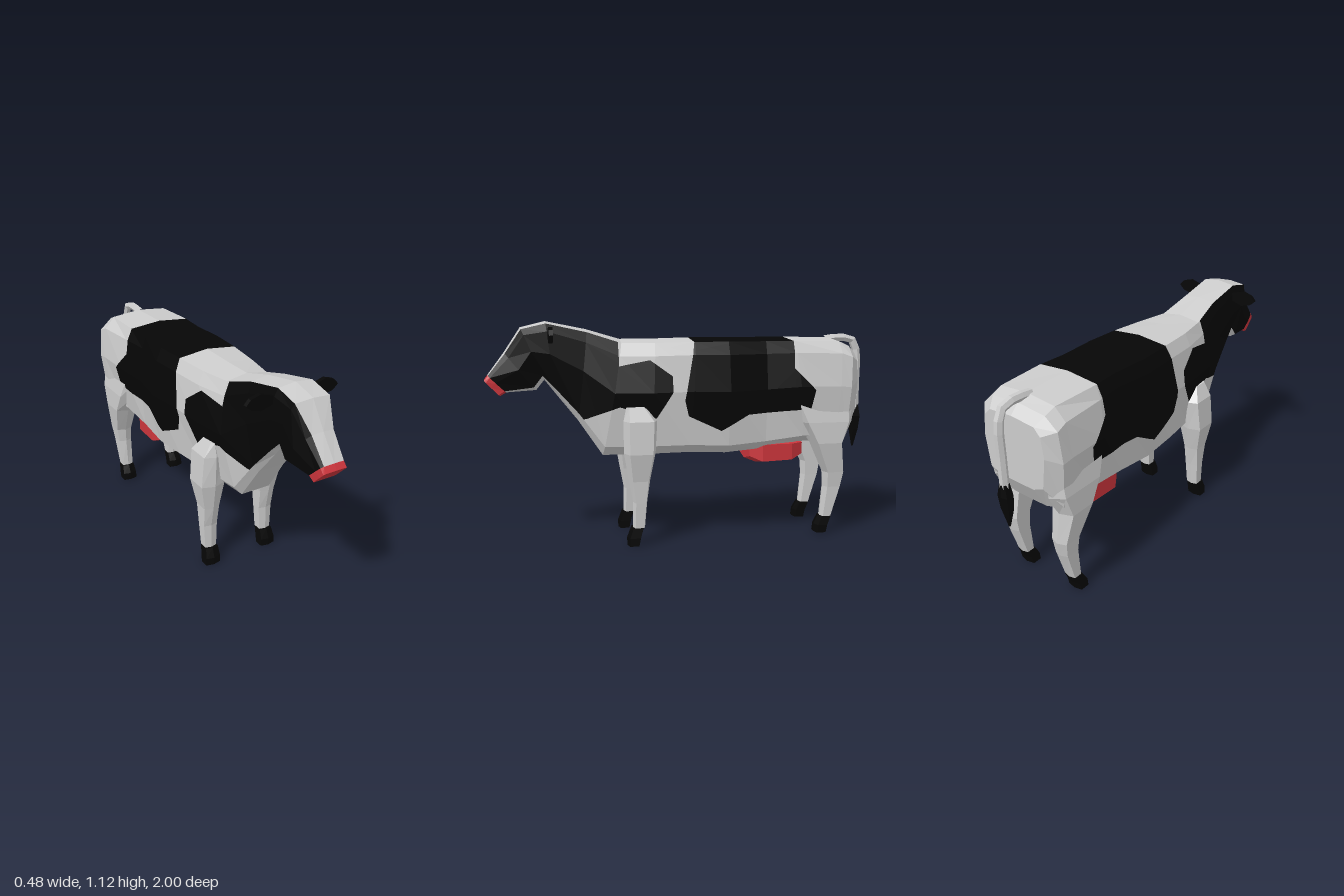
import * as THREE from 'three';

const paint = (color) => new THREE.MeshStandardMaterial({ color, flatShading: true });
const HIDE = paint(0xcccccc), BLACK = paint(0x060606), RED = paint(0xcc353c);

// Skins rings of points; each ring runs clockwise seen from outside the first end.
// Returns triangles tagged with their ring and segment.
function skin(rings) {
  const n = rings[0].length, tris = [];
  const centre = (r) => [0, 1, 2].map((k) => r.reduce((sum, p) => sum + p[k], 0) / n);
  const last = rings.length - 1, c0 = centre(rings[0]), c1 = centre(rings[last]);
  for (let i = 0; i < n; i++) {
    const j = (i + 1) % n;
    tris.push({ p: [c0, rings[0][j], rings[0][i]], ring: 0, seg: i });
    for (let s = 0; s < last; s++) {
      const a = rings[s][i], b = rings[s][j], c = rings[s + 1][j], d = rings[s + 1][i];
      tris.push({ p: [a, b, c], ring: s, seg: i }, { p: [a, c, d], ring: s, seg: i });
    }
    tris.push({ p: [c1, rings[last][i], rings[last][j]], ring: last, seg: i });
  }
  return tris;
}

// Flat-shaded mesh from convex polygons
function polyMesh(name, polys, material) {
  const pos = [];
  for (const p of polys)
    for (let k = 1; k < p.length - 1; k++) pos.push(...p[0], ...p[k], ...p[k + 1]);
  const g = new THREE.BufferGeometry();
  g.setAttribute('position', new THREE.Float32BufferAttribute(pos, 3));
  g.computeVertexNormals();
  const mesh = new THREE.Mesh(g, material);
  mesh.name = name;
  return mesh;
}

// Limb with flat sides and blunt front and back; rows [x, y, z, half width, half depth] go downwards
const LIMB_RING = [[0, 1], [-1, 0.72], [-1, -0.72], [0, -1], [1, -0.72], [1, 0.72]];
function limb(name, rows, material, side = 1) {
  const rings = rows.map(([x, y, z, w, d]) => LIMB_RING.map(([u, v]) => [side * x + u * w, y, z + v * d]));
  return polyMesh(name, skin(rings).map((t) => t.p), material);
}

// Cuts a polygon along the line a-b in the (z, y) plane: [kept side, other side]
function cut(poly, a, b) {
  const dist = (p) => (b[0] - a[0]) * (p[1] - a[1]) - (b[1] - a[1]) * (p[2] - a[0]);
  const inside = [], outside = [];
  poly.forEach((p, i) => {
    const q = poly[(i + 1) % poly.length], dp = dist(p), dq = dist(q);
    if (dp >= 0) inside.push(p);
    if (dp <= 0) outside.push(p);
    if (dp * dq < 0) {
      const m = p.map((v, k) => v + ((q[k] - v) * dp) / (dp - dq));
      inside.push(m);
      outside.push(m);
    }
  });
  return [inside, outside];
}

// Body sections, nose to rump: top z, y, bottom z, y, then half widths at LEVELS
const LEVELS = [0.03, 0.14, 0.45, 0.92, 1];
const SECTIONS = [
  [1.0, 0.835, 0.925, 0.757, 0.055, 0.06, 0.06, 0.06, 0.05],
  [0.982, 0.86, 0.895, 0.775, 0.052, 0.062, 0.065, 0.062, 0.05],
  [0.9, 0.97, 0.75, 0.785, 0.057, 0.075, 0.1, 0.085, 0.06],
  [0.82, 1.09, 0.71, 0.835, 0.09, 0.1, 0.112, 0.085, 0.06],
  [0.7, 1.12, 0.66, 0.77, 0.09, 0.105, 0.115, 0.09, 0.06],
  [0.5, 1.08, 0.55, 0.63, 0.09, 0.11, 0.125, 0.1, 0.07],
  [0.33, 1.03, 0.43, 0.45, 0.11, 0.135, 0.17, 0.12, 0.08],
  [0.17, 1.03, 0.2, 0.45, 0.14, 0.17, 0.195, 0.15, 0.1],
  [-0.03, 1.035, 0, 0.455, 0.16, 0.19, 0.21, 0.18, 0.12],
  [-0.2, 1.035, -0.2, 0.445, 0.17, 0.2, 0.228, 0.19, 0.12],
  [-0.4, 1.035, -0.4, 0.46, 0.16, 0.18, 0.205, 0.18, 0.12],
  [-0.55, 1.035, -0.6, 0.485, 0.17, 0.2, 0.23, 0.19, 0.1],
  [-0.8, 1.03, -0.77, 0.49, 0.16, 0.215, 0.235, 0.21, 0.1],
  [-0.855, 1.005, -0.83, 0.505, 0.155, 0.22, 0.235, 0.21, 0.1],
  [-0.9, 0.96, -0.9, 0.63, 0.13, 0.165, 0.18, 0.16, 0.1],
];

// Coat patches: convex outlines in (z, y), counter-clockwise, on a range of ring segments
const PATCHES = [
  { from: 1, to: 3, outline: [[0.35, 1.2], [0.35, 0.7], [0.51, 0.64], [0.75, 0.6], [1.1, 0.6], [1.1, 1.2]] },
  { from: 1, to: 4, outline: [[0.35, 0.9], [0.2, 0.93], [0.09, 0.85], [0.09, 0.77], [0.17, 0.64], [0.35, 0.7]] },
  { from: 0, to: 5, outline: [[-0.06, 1.2], [-0.55, 1.2], [-0.54, 0.87], [-0.3, 0.65], [-0.16, 0.57], [0.01, 0.65], [0.03, 0.73]] },
  { from: 0, to: 5, outline: [[-0.54, 0.88], [-0.65, 0.77], [-0.63, 0.67], [-0.3, 0.65]] },
];

function buildBody() {
  const rings = SECTIONS.map(([zt, yt, zb, yb, ...xs]) => {
    const at = (x, t) => [x, yt + (yb - yt) * t, zt + (zb - zt) * t];
    const half = (side) => xs.map((x, i) => at(side * x, LEVELS[i]));
    return [at(0, 0), ...half(1), at(0, 1), ...half(-1).reverse()];
  });
  const hide = [], black = [], red = [];
  for (const { p, ring, seg } of skin(rings)) {
    if (ring === 0) { red.push(p); continue; }
    const level = Math.min(seg, 11 - seg);
    let rest = [p];
    for (const { from, to, outline } of PATCHES) {
      if (level < from || level > to) continue;
      const next = [];
      for (let piece of rest) {
        for (let k = 0; k < outline.length && piece.length > 2; k++) {
          const [inside, outside] = cut(piece, outline[k], outline[(k + 1) % outline.length]);
          if (outside.length > 2) next.push(outside);
          piece = inside;
        }
        if (piece.length > 2) black.push(piece);
      }
      rest = next;
    }
    hide.push(...rest);
  }
  const body = new THREE.Group();
  body.name = 'body';
  body.add(polyMesh('hide', hide, HIDE), polyMesh('coatPatches', black, BLACK), polyMesh('muzzle', red, RED));
  return body;
}

export function createModel() {
  const cow = new THREE.Group();
  cow.name = 'cow';
  cow.add(buildBody());

  // Legs, hooves and ears on both sides
  for (const [label, side] of [['left', 1], ['right', -1]]) {
    cow.add(limb(label + 'FrontLeg', [
      [0.165, 0.7, 0.27, 0.015, 0.05], [0.165, 0.63, 0.25, 0.055, 0.085], [0.17, 0.47, 0.255, 0.065, 0.08],
      [0.167, 0.33, 0.257, 0.042, 0.054], [0.167, 0.22, 0.255, 0.038, 0.036], [0.167, 0.09, 0.262, 0.032, 0.031],
    ], HIDE, side));
    cow.add(limb(label + 'FrontHoof', [
      [0.167, 0.09, 0.27, 0.035, 0.035], [0.169, 0.04, 0.287, 0.04, 0.037], [0.17, 0, 0.291, 0.041, 0.032],
    ], BLACK, side));
    cow.add(limb(label + 'HindLeg', [
      [0.165, 0.72, -0.7, 0.045, 0.19], [0.168, 0.6, -0.725, 0.062, 0.155], [0.17, 0.49, -0.735, 0.063, 0.09],
      [0.16, 0.33, -0.782, 0.045, 0.06], [0.157, 0.25, -0.777, 0.038, 0.049], [0.157, 0.09, -0.745, 0.032, 0.029],
    ], HIDE, side));
    cow.add(limb(label + 'HindHoof', [
      [0.157, 0.09, -0.742, 0.035, 0.034], [0.16, 0.045, -0.72, 0.04, 0.036], [0.16, 0.005, -0.713, 0.041, 0.033],
    ], BLACK, side));

    const leaf = [[0.09, 1.07], [0.17, 1.095], [0.22, 1.08], [0.242, 1.055], [0.215, 1.03], [0.165, 1.017], [0.09, 1.04]];
    const shape = new THREE.Shape(leaf.map(([x, y]) => new THREE.Vector2(side * x, y)));
    const ear = new THREE.Mesh(new THREE.ExtrudeGeometry(shape, { depth: 0.02, bevelEnabled: false }), BLACK);
    ear.position.z = 0.67;
    ear.name = label + 'Ear';
    cow.add(ear);
  }

  // Udder
  const udder = [[-0.34, 0.1, 0.39], [-0.4, 0.14, 0.365], [-0.56, 0.14, 0.37], [-0.63, 0.1, 0.395]];
  cow.add(polyMesh('udder', skin(udder.map(([z, w, y]) => [
    [0, 0.49, z], [w, 0.48, z], [w, y + 0.025, z], [0, y, z], [-w, y + 0.025, z], [-w, 0.48, z],
  ])).map((t) => t.p), RED));

  // Tail and its tuft
  const path = new THREE.CatmullRomCurve3([
    [1.02, -0.78], [1.03, -0.88], [1.015, -0.945], [0.95, -0.97], [0.8, -0.972], [0.63, -0.972],
  ].map(([y, z]) => new THREE.Vector3(0, y, z)));
  const tail = new THREE.Mesh(new THREE.TubeGeometry(path, 10, 0.022, 6), HIDE);
  tail.name = 'tail';
  cow.add(tail, limb('tailTuft', [
    [0, 0.66, -0.972, 0.018, 0.02], [0, 0.6, -0.973, 0.03, 0.027],
    [0, 0.53, -0.97, 0.026, 0.022], [0, 0.43, -0.967, 0.004, 0.004],
  ], BLACK));
  return cow;
}
